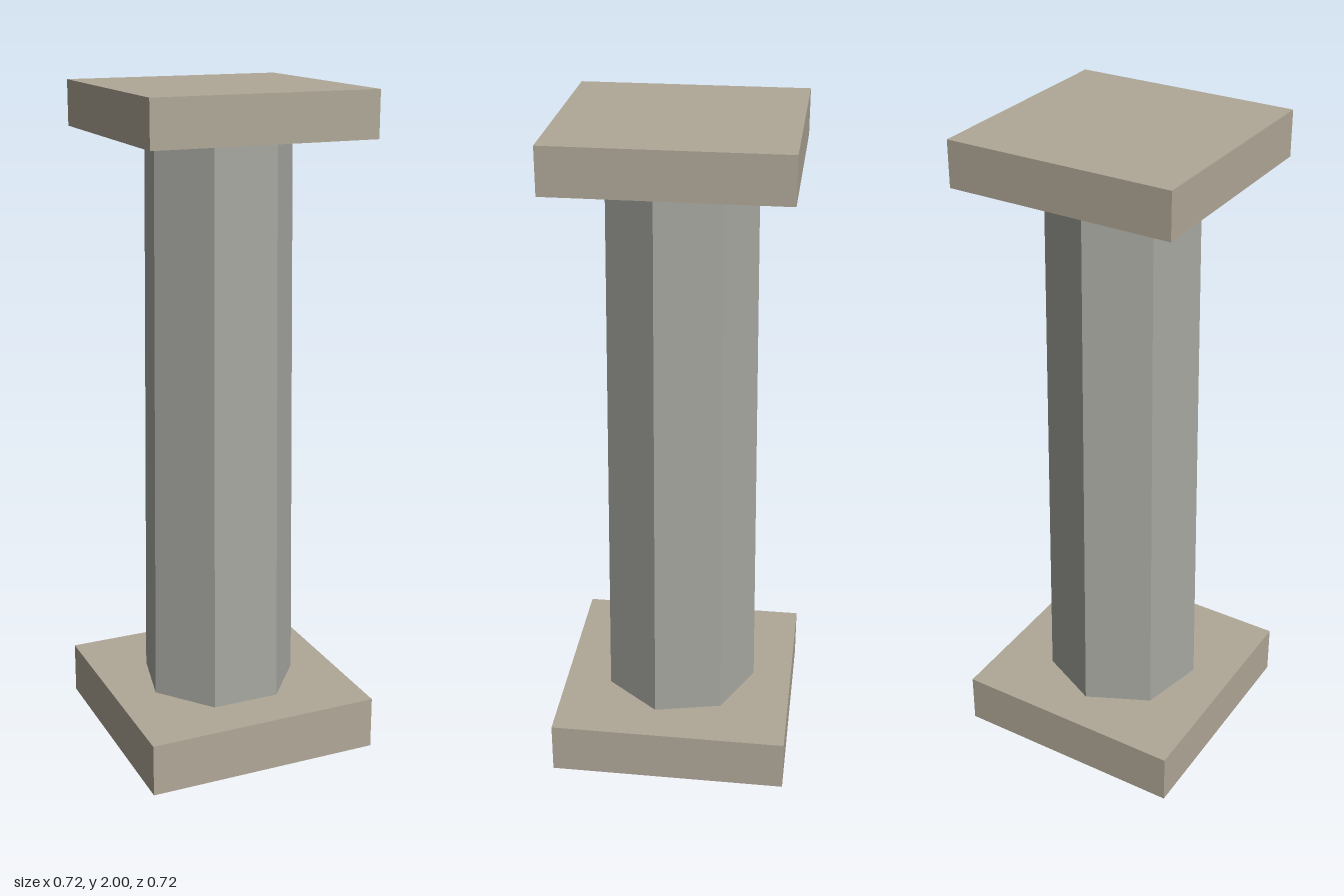
import * as THREE from 'three';

const stone = new THREE.MeshStandardMaterial({ color: 0xb0a898, side: THREE.DoubleSide, flatShading: true });
const shaftStone = new THREE.MeshStandardMaterial({ color: 0xa8a8a2, side: THREE.DoubleSide, flatShading: true });

// Square slab, hollow and open underneath
function openSlab(name, width, bottom, top) {
  const geometry = new THREE.BoxGeometry(width, top - bottom, width);
  const index = Array.from(geometry.index.array);
  index.splice(18, 6); // drop the bottom face
  geometry.setIndex(index);
  geometry.clearGroups();
  const slab = new THREE.Mesh(geometry, stone);
  slab.name = name;
  slab.position.y = (bottom + top) / 2;
  return slab;
}

export function createModel() {
  const group = new THREE.Group();
  group.name = 'column';
  const baseTop = 0.16, capBottom = 1.865;

  group.add(openSlab('base', 0.722, 0, baseTop));
  group.add(openSlab('capital', 0.674, capBottom, 2));

  // Tapered seven-sided shaft with a flat side to the front
  const shaft = new THREE.Mesh(
    new THREE.CylinderGeometry(0.22, 0.24, capBottom - baseTop, 7, 1, true),
    shaftStone
  );
  shaft.name = 'shaft';
  shaft.rotation.y = Math.PI;
  shaft.position.y = (baseTop + capBottom) / 2;
  group.add(shaft);

  return group;
}
